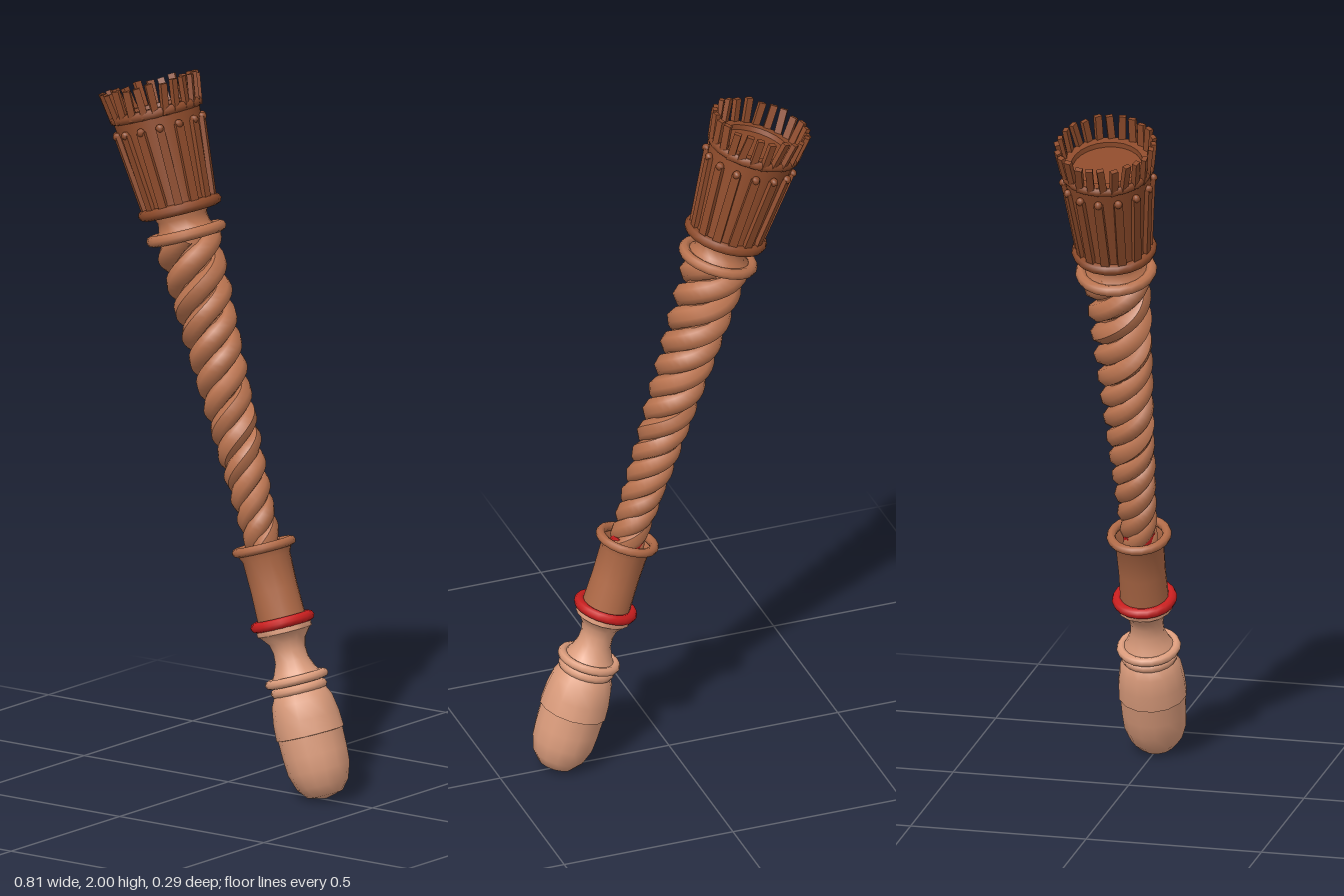
import * as THREE from 'three';
import { toCreasedNormals } from 'three/addons/utils/BufferGeometryUtils.js';

function mat(name, color, side = THREE.FrontSide) {
  const m = new THREE.MeshStandardMaterial({ color, side });
  m.name = name;
  return m;
}

export function createModel() {
  const darkWood = mat('dark wood', 0x8c4a2a);
  const ropeWood = mat('rope wood', 0xb9734f);
  const sleeveWood = mat('sleeve wood', 0xb06a47, THREE.DoubleSide);
  const paleWood = mat('pale wood', 0xdb9c7c);
  const red = mat('red', 0xc81e1e);

  // staff is built upright along y, then leaned over
  const staff = new THREE.Group();
  staff.name = 'staff';

  function add(name, geometry, material, parent = staff) {
    const mesh = new THREE.Mesh(geometry, material);
    mesh.name = name;
    parent.add(mesh);
    return mesh;
  }
  function turned(name, profile, material, segments = 16) {
    const pts = profile.map(([r, y]) => new THREE.Vector2(r, y));
    return add(name, toCreasedNormals(new THREE.LatheGeometry(pts, segments), 0.75), material);
  }
  function ring(name, y, radius, tube, material, flat = 1) {
    const g = new THREE.TorusGeometry(radius, tube, 8, 20);
    g.rotateX(Math.PI / 2).scale(1, flat, 1).translate(0, y, 0);
    return add(name, g, material);
  }

  // rounded end knob and its cap
  turned('knobEnd', [[0, 0], [0.05, 0.012], [0.073, 0.04], [0.088, 0.085], [0.091, 0.13], [0.092, 0.19]], paleWood, 14);
  turned('knobCap', [[0.088, 0.183], [0.096, 0.185], [0.094, 0.23], [0.086, 0.28], [0.07, 0.312], [0.06, 0.32]], paleWood, 14);
  ring('knobRingLower', 0.315, 0.066, 0.014, paleWood);
  ring('knobRingUpper', 0.342, 0.077, 0.013, paleWood);

  // waisted neck under the sleeve
  turned('waist', [[0.075, 0.34], [0.06, 0.365], [0.048, 0.395], [0.046, 0.425], [0.052, 0.45], [0.07, 0.473],
    [0.078, 0.478], [0.078, 0.492], [0.06, 0.5]], paleWood);
  ring('redBand', 0.506, 0.076, 0.015, red);

  // hollow sleeve holding the rope shaft
  turned('sleeve', [[0.068, 0.505], [0.066, 0.6], [0.068, 0.69], [0.08, 0.715]], sleeveWood);
  ring('sleeveRim', 0.72, 0.078, 0.013, sleeveWood);
  add('sleeveLining', new THREE.CylinderGeometry(0.046, 0.046, 0.1, 12).translate(0, 0.68, 0), red);

  // tapering shaft of three twisted strands around a core
  const y0 = 0.69, y1 = 1.61, turns = 4.5;
  const taper = (y) => 0.62 + 0.58 * THREE.MathUtils.clamp((y - y0) / (y1 - y0), 0, 1);
  for (let k = 0; k < 3; k++) {
    const pts = [];
    for (let i = 0; i <= 90; i++) {
      const t = i / 90;
      const a = t * turns * Math.PI * 2 + (k * Math.PI * 2) / 3;
      const y = y0 + (y1 - y0) * (0.85 * t + 0.15 * t * t);
      pts.push(new THREE.Vector3(0.05 * Math.cos(a), y, -0.05 * Math.sin(a)));
    }
    const g = new THREE.TubeGeometry(new THREE.CatmullRomCurve3(pts), 110, 0.031, 7);
    const p = g.attributes.position;
    for (let i = 0; i < p.count; i++) {
      const s = taper(p.getY(i));
      p.setX(i, p.getX(i) * s);
      p.setZ(i, p.getZ(i) * s);
    }
    g.computeVertexNormals();
    add('ropeStrand', g, ropeWood);
  }
  add('ropeCore', new THREE.CylinderGeometry(0.065, 0.032, y1 - y0, 12).translate(0, (y0 + y1) / 2, 0), ropeWood);
  ring('shaftCollar', 1.615, 0.098, 0.016, ropeWood);
  turned('shaftNeck', [[0.095, 1.615], [0.074, 1.635], [0.07, 1.66], [0.085, 1.69]], ropeWood);

  // flared cup with ribs, studs and bands
  turned('cup', [[0.06, 1.675], [0.1, 1.68], [0.098, 1.72], [0.124, 1.965], [0.124, 1.98], [0.1, 1.98], [0.097, 1.966], [0, 1.966]], darkWood, 24);
  ring('cupBaseRing', 1.69, 0.103, 0.016, darkWood);
  ring('cupTopBand', 1.966, 0.121, 0.012, darkWood, 1.2);

  const ribs = 14;
  for (let i = 0; i < ribs; i++) {
    const spoke = new THREE.Group();
    spoke.name = 'cupRib';
    spoke.rotation.y = (i / ribs) * Math.PI * 2;
    const rib = add('rib', new THREE.BoxGeometry(0.016, 0.225, 0.024), darkWood, spoke);
    rib.position.set(0.111, 1.81, 0);
    rib.rotation.z = -0.106;
    const stud = add('stud', new THREE.SphereGeometry(0.012, 8, 6), darkWood, spoke);
    stud.position.set(0.125, 1.922, 0);
    staff.add(spoke);
  }

  // ragged crown of flared slats
  const slats = 24;
  for (let i = 0; i < slats; i++) {
    const spoke = new THREE.Group();
    spoke.name = 'crownSlat';
    spoke.rotation.y = ((i + 0.5) / slats) * Math.PI * 2;
    const slat = add('slat', new THREE.BoxGeometry(0.014, 0.088, 0.02), darkWood, spoke);
    slat.position.set(0.128, 2.002 + 0.004 * Math.sin(i * 2.3), 0);
    slat.rotation.set(0.08 * Math.sin(i * 1.7), 0.3, -0.16);
    staff.add(spoke);
  }

  staff.rotation.z = THREE.MathUtils.degToRad(17.5);
  staff.position.set(0.34, 0.006, 0);
  const model = new THREE.Group();
  model.name = 'model';
  model.add(staff);
  return model;
}
